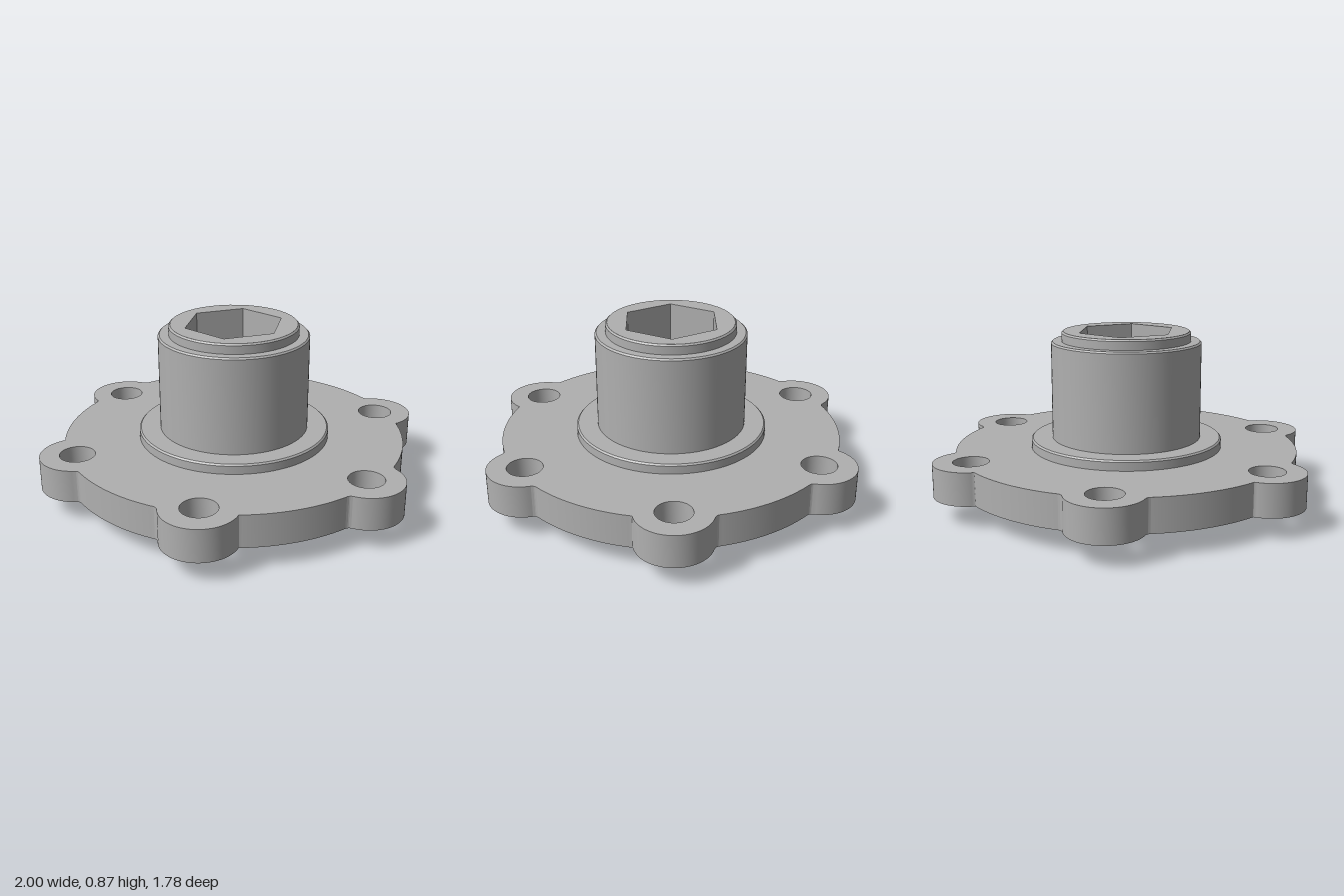
import * as THREE from 'three';
import { toCreasedNormals } from 'three/addons/utils/BufferGeometryUtils.js';

const DISC_R = 0.865, LOBE_R = 0.185, BOLT_CIRCLE = 0.815, HOLE_R = 0.088;

// Disc outline with six filleted bolt lobes, bolt holes and a hidden centre opening
function flangeShape() {
  const shape = new THREE.Shape();
  const angleTo = (from, to) => Math.atan2(to.y - from.y, to.x - from.x);
  const polar = (r, a) => new THREE.Vector2(r * Math.cos(a), r * Math.sin(a));
  const spread = f => Math.acos((BOLT_CIRCLE ** 2 + (DISC_R + f) ** 2 - (LOBE_R + f) ** 2)
    / (2 * BOLT_CIRCLE * (DISC_R + f)));
  const wide = 0.03, tight = 0.004;
  const before = [wide, tight, wide, wide, tight, wide];
  const after = [wide, wide, tight, wide, wide, tight];

  for (let i = 0; i < 6; i++) {
    const a = i * Math.PI / 3, next = (i + 1) % 6;
    const f1 = before[i], f2 = after[i];
    const start = a - spread(f1), end = a + spread(f2);
    const lobe = polar(BOLT_CIRCLE, a);
    const c1 = polar(DISC_R + f1, start), c2 = polar(DISC_R + f2, end);
    shape.absarc(c1.x, c1.y, f1, start + Math.PI, angleTo(c1, lobe), true);
    shape.absarc(lobe.x, lobe.y, LOBE_R, angleTo(lobe, c1), angleTo(lobe, c2), false);
    shape.absarc(c2.x, c2.y, f2, angleTo(c2, lobe), end + Math.PI, true);
    shape.absarc(0, 0, DISC_R, end, a + Math.PI / 3 - spread(before[next]), false);
    const hole = new THREE.Path();
    hole.absarc(lobe.x, lobe.y, HOLE_R, 0, Math.PI * 2, true);
    shape.holes.push(hole);
  }
  const centre = new THREE.Path();
  centre.absarc(0, 0, 0.4, 0, Math.PI * 2, true);
  shape.holes.push(centre);
  return shape;
}

// Extrude a plan shape upward from height y
function extrudeUp(shape, y, height) {
  const geo = new THREE.ExtrudeGeometry(shape, { depth: height, bevelEnabled: false, curveSegments: 20 });
  geo.rotateX(-Math.PI / 2).translate(0, y, 0);
  return toCreasedNormals(geo, 0.6);
}

export function createModel() {
  const group = new THREE.Group();
  const steel = new THREE.MeshStandardMaterial({ color: 0xb0b0b0 });
  steel.name = 'grey steel';
  const add = (name, geo) => {
    const mesh = new THREE.Mesh(geo, steel);
    mesh.name = name;
    group.add(mesh);
  };

  add('boltFlange', extrudeUp(flangeShape(), 0.11, 0.165));

  // Stepped hub with small chamfers
  const b = 0.008;
  const profile = [
    [0.325 - b, 0], [0.325, b], [0.325, 0.06],
    [0.485 - b, 0.06], [0.485, 0.06 + b], [0.485, 0.325 - b], [0.485 - b, 0.325],
    [0.378, 0.325], [0.378, 0.815 - b], [0.378 - b, 0.815],
    [0.325, 0.815], [0.325, 0.865 - b], [0.325 - b, 0.865],
  ].map(([r, y]) => new THREE.Vector2(r, y));
  add('steppedHub', toCreasedNormals(new THREE.LatheGeometry(profile, 96), 0.6));

  // Core closes the hub ends and carries the hexagonal through bore
  const core = new THREE.Shape();
  core.absarc(0, 0, 0.325 - b, 0, Math.PI * 2, false);
  const hex = [];
  for (let i = 0; i < 6; i++) {
    const a = -i * Math.PI / 3;
    hex.push(new THREE.Vector2(0.252 * Math.cos(a), 0.252 * Math.sin(a)));
  }
  core.holes.push(new THREE.Path(hex).closePath());
  add('hexBoreCore', extrudeUp(core, 0, 0.865));

  return group;
}
